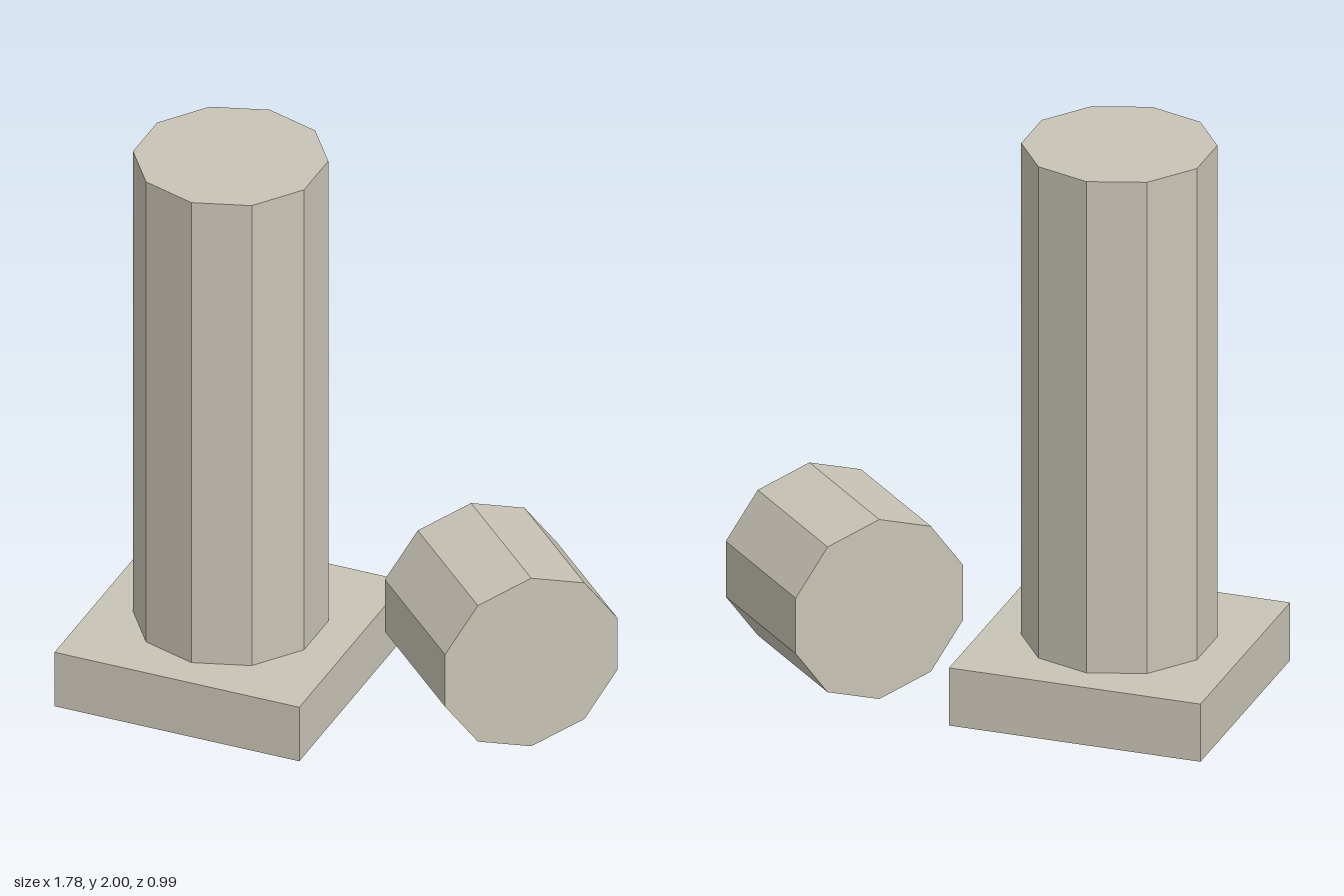
import * as THREE from 'three';

const SIDES = 10;
const RADIUS = 0.327;

export function createModel() {
  const model = new THREE.Group();
  model.name = 'brokenColumn';
  const stone = new THREE.MeshStandardMaterial({ color: 0xc8c3b5, flatShading: true });
  stone.name = 'stone';

  const add = (name, geometry, x, y, z) => {
    const mesh = new THREE.Mesh(geometry, stone);
    mesh.name = name;
    mesh.position.set(x, y, z);
    model.add(mesh);
    return mesh;
  };
  const shaft = (length) => new THREE.CylinderGeometry(RADIUS, RADIUS, length, SIDES);

  // Square base slab
  add('base', new THREE.BoxGeometry(0.89, 0.21, 0.89), -0.443, 0.105, 0.045);

  // Standing ten-sided column
  add('column', shaft(1.79), -0.443, 1.105, 0.042);

  // Fallen drum, lying on one corner edge and turned across the ground
  const drum = add('fallenDrum', shaft(0.525), 0.483, RADIUS, -0.09);
  drum.rotation.set(Math.PI / 2, THREE.MathUtils.degToRad(46), 0, 'YXZ');

  return model;
}
